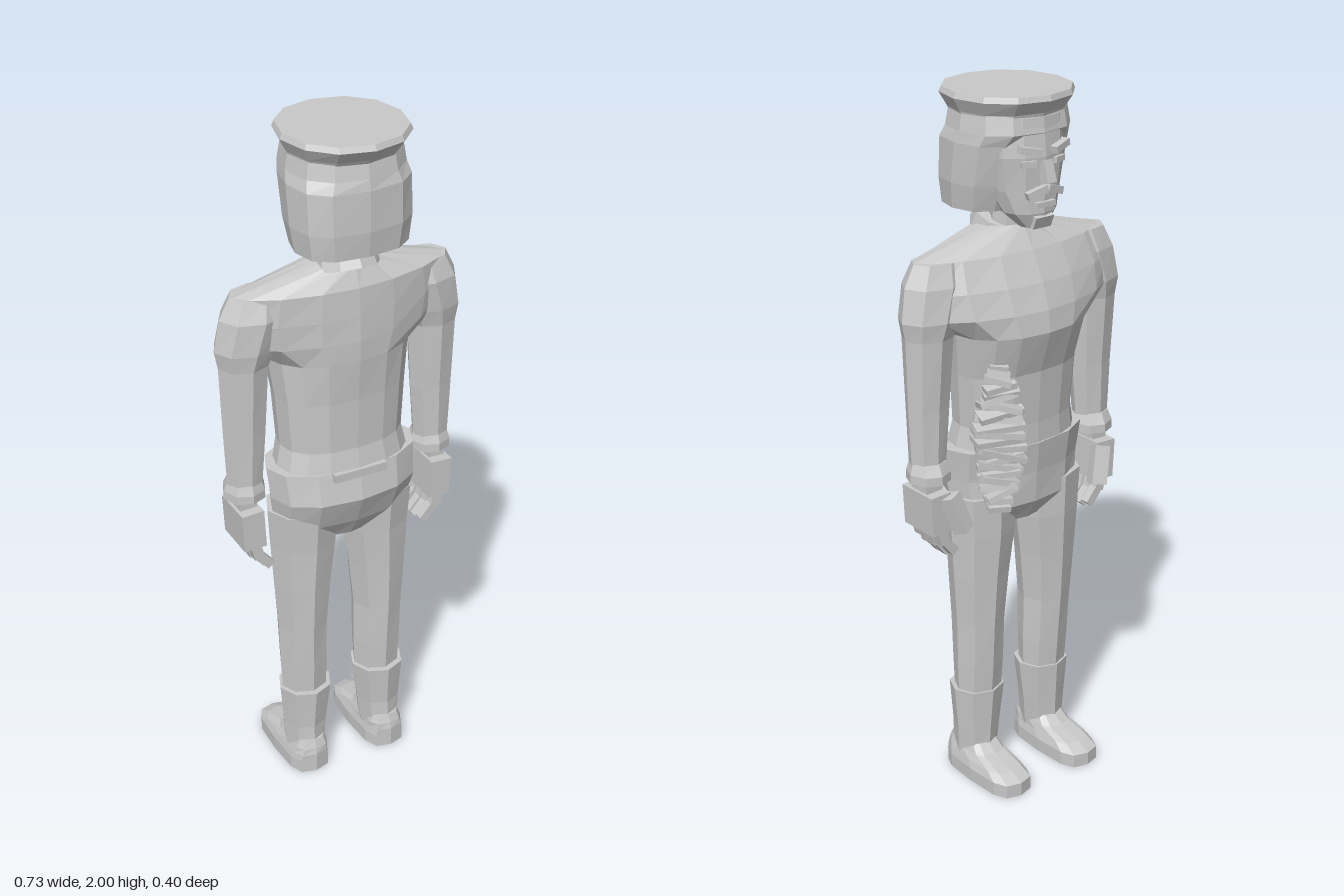
import * as THREE from 'three';

const grey = new THREE.MeshStandardMaterial({ color: 0xc8c8c8, flatShading: true, side: THREE.DoubleSide });
grey.name = 'plain grey';

// Closed loft from bottom to top. Row: [y, centreX, radiusX, zBack, zFront, power]
// power 1 is an ellipse, below 1 is boxy, above 1 is diamond-like.
function loft(name, rows, n = 12) {
  const pos = [], idx = [];
  const pw = (v, p) => Math.sign(v) * Math.pow(Math.abs(v) < 1e-6 ? 0 : Math.abs(v), p);
  for (const [y, cx, rx, zb, zf, p = 1] of rows) {
    for (let j = 0; j < n; j++) {
      const a = (j / n) * Math.PI * 2;
      pos.push(cx + rx * pw(Math.cos(a), p), y, (zb + zf) / 2 + ((zb - zf) / 2) * pw(Math.sin(a), p));
    }
  }
  const last = rows.length - 1;
  for (let i = 0; i < last; i++) {
    for (let j = 0; j < n; j++) {
      const k = (j + 1) % n, a = i * n + j, b = i * n + k;
      idx.push(a, a + n, b, b, a + n, b + n);
    }
  }
  for (const r of [0, last]) {
    const [y, cx, , zb, zf] = rows[r], c = pos.length / 3;
    pos.push(cx, y, (zb + zf) / 2);
    for (let j = 0; j < n; j++) {
      const a = r * n + j, b = r * n + ((j + 1) % n);
      if (r) idx.push(c, b, a); else idx.push(c, a, b);
    }
  }
  const g = new THREE.BufferGeometry();
  g.setAttribute('position', new THREE.Float32BufferAttribute(pos, 3));
  g.setIndex(idx);
  const flat = g.toNonIndexed();
  flat.computeVertexNormals();
  return named(name, flat);
}

function named(name, geometry) {
  const m = new THREE.Mesh(geometry, grey);
  m.name = name;
  return m;
}

function box(name, size, at, rot = [0, 0, 0]) {
  const m = named(name, new THREE.BoxGeometry(...size));
  m.position.set(...at);
  m.rotation.set(...rot);
  return m;
}

function makeLeg(s) {
  const g = new THREE.Group();
  g.name = s > 0 ? 'legPlusX' : 'legMinusX';
  g.add(
    loft('trouserLeg', [
      [0.24, s * 0.12, 0.068, 0.07, -0.055],
      [0.36, s * 0.12, 0.073, 0.075, -0.065],
      [0.5, s * 0.122, 0.074, 0.08, -0.075],
      [0.65, s * 0.12, 0.087, 0.085, -0.085],
      [0.78, s * 0.115, 0.1, 0.09, -0.095],
      [0.9, s * 0.115, 0.108, 0.1, -0.1],
    ], 8),
    loft('bootShaft', [
      [0.06, s * 0.125, 0.058, 0.085, -0.05],
      [0.15, s * 0.123, 0.066, 0.08, -0.055],
      [0.28, s * 0.12, 0.08, 0.09, -0.065],
    ], 8),
    loft('shoe', [
      [0, s * 0.127, 0.066, 0.1, -0.2, 0.6],
      [0.04, s * 0.127, 0.066, 0.1, -0.2, 0.6],
      [0.06, s * 0.127, 0.06, 0.1, -0.16, 0.6],
      [0.08, s * 0.125, 0.054, 0.095, -0.08, 0.6],
      [0.105, s * 0.125, 0.045, 0.085, -0.05, 0.6],
    ], 12),
  );
  return g;
}

function makeArm(s) {
  const g = new THREE.Group();
  g.name = s > 0 ? 'armPlusX' : 'armMinusX';
  g.add(
    loft('sleeve', [
      [0.99, s * 0.29, 0.05, 0.05, -0.045],
      [1.18, s * 0.286, 0.063, 0.055, -0.05],
      [1.38, s * 0.283, 0.072, 0.065, -0.065],
      [1.43, s * 0.275, 0.09, 0.075, -0.075],
      [1.52, s * 0.25, 0.1, 0.08, -0.07],
      [1.58, s * 0.24, 0.08, 0.06, -0.05],
    ], 8),
    loft('cuff', [
      [0.975, s * 0.29, 0.06, 0.06, -0.065],
      [1.0, s * 0.29, 0.06, 0.06, -0.065],
      [1.03, s * 0.29, 0.05, 0.05, -0.05],
    ], 8),
    box('wrist', [0.05, 0.07, 0.07], [s * 0.295, 0.955, 0]),
    box('palm', [0.066, 0.115, 0.13], [s * 0.293, 0.89, 0], [0, 0, s * -0.05]),
    box('thumb', [0.045, 0.11, 0.04], [s * 0.255, 0.89, -0.08], [0.3, s * 0.3, s * -0.3]),
  );
  // Four fingers, each of two joints curling inwards
  for (let i = 0; i < 4; i++) {
    const z = 0.05 - i * 0.032, drop = i === 0 || i === 3 ? 0.01 : 0;
    g.add(
      box('fingerBase', [0.03, 0.06, 0.027], [s * 0.285, 0.815 + drop, z], [0, 0, s * -0.25]),
      box('fingerTip', [0.026, 0.055, 0.025], [s * 0.26, 0.772 + drop, z], [0, 0, s * -0.7]),
    );
  }
  return g;
}

function makeHead() {
  const g = new THREE.Group();
  g.name = 'head';
  g.add(
    loft('neck', [[1.58, 0, 0.06, 0.06, -0.045], [1.75, 0, 0.055, 0.06, -0.045]], 8),
    loft('face', [
      [1.65, 0, 0.04, -0.05, -0.125],
      [1.69, 0, 0.08, 0, -0.135],
      [1.75, 0, 0.105, 0.05, -0.135],
      [1.84, 0, 0.12, 0.05, -0.14],
      [1.94, 0, 0.12, 0.05, -0.13],
    ]),
    loft('hair', [
      [1.69, 0, 0.155, 0.165, -0.055, 0.75],
      [1.76, 0, 0.165, 0.172, -0.08, 0.75],
      [1.87, 0, 0.166, 0.17, -0.11, 0.75],
      [1.9, 0, 0.16, 0.165, -0.135, 0.85],
      [1.95, 0, 0.152, 0.155, -0.125, 0.85],
    ]),
    loft('cap', [
      [1.935, 0, 0.15, 0.155, -0.125, 0.9],
      [1.95, 0, 0.155, 0.165, -0.13, 0.9],
      [1.985, 0, 0.174, 0.197, -0.16, 0.95],
      [2, 0, 0.168, 0.19, -0.155, 0.95],
    ]),
    box('nose', [0.03, 0.06, 0.03], [0, 1.8, -0.142], [0.3, 0, 0]),
    box('mouth', [0.06, 0.014, 0.02], [0, 1.715, -0.134]),
    box('chin', [0.06, 0.035, 0.03], [0, 1.67, -0.118], [-0.4, 0, 0]),
  );
  for (const s of [-1, 1]) {
    g.add(
      box('eyebrow', [0.06, 0.018, 0.025], [s * 0.05, 1.86, -0.134], [0, s * -0.3, s * 0.2]),
      box('eye', [0.04, 0.016, 0.015], [s * 0.05, 1.825, -0.13], [0, s * -0.3, 0]),
      box('moustache', [0.06, 0.02, 0.02], [s * 0.028, 1.75, -0.137], [0, s * -0.2, s * -0.3]),
    );
  }
  const collar = named('collar', new THREE.CylinderGeometry(0.08, 0.09, 0.045, 10));
  collar.position.set(0, 1.635, 0.035);
  collar.rotation.x = -0.33;
  g.add(collar);
  return g;
}

// Crumpled pleats hanging at one side of the waist
function makePleats() {
  const g = new THREE.Group();
  g.name = 'crumpledPleats';
  let seed = 7;
  const rnd = () => ((seed = (seed * 16807) % 2147483647) / 2147483647) - 0.5;
  for (let i = 0; i < 22; i++) {
    const t = i / 21;
    const w = 0.05 + 0.09 * Math.sin(Math.PI * Math.min(1, t * 0.95 + 0.05));
    g.add(box('pleat', [w, 0.017, 0.065 + rnd() * 0.02],
      [0.12 + rnd() * 0.015, 0.88 + t * 0.41, -0.09 + rnd() * 0.01],
      [rnd() * 0.5, -0.45 + rnd() * 0.4, rnd() * 0.7]));
  }
  return g;
}

export function createModel() {
  const model = new THREE.Group();
  model.name = 'standingMan';
  model.add(
    loft('jacket', [
      [1.03, 0, 0.195, 0.125, -0.115, 0.85],
      [1.1, 0, 0.18, 0.112, -0.115, 0.85],
      [1.25, 0, 0.19, 0.113, -0.125, 0.85],
      [1.37, 0, 0.205, 0.122, -0.163, 0.9],
      [1.43, 0, 0.31, 0.123, -0.155, 1.15],
      [1.5, 0, 0.325, 0.12, -0.13, 1.15],
      [1.58, 0, 0.31, 0.115, -0.09, 1.15],
      [1.64, 0, 0.07, 0.09, -0.05],
    ], 16),
    loft('hips', [
      [0.8, 0, 0.1, 0.07, -0.07],
      [0.86, 0, 0.205, 0.105, -0.105, 0.85],
      [0.95, 0, 0.218, 0.143, -0.11, 0.9],
      [1.04, 0, 0.225, 0.125, -0.12, 0.9],
    ]),
    box('backHem', [0.16, 0.025, 0.02], [0, 1.03, 0.122]),
    makeHead(),
    makePleats(),
  );
  for (const s of [-1, 1]) model.add(makeLeg(s), makeArm(s));
  return model;
}
